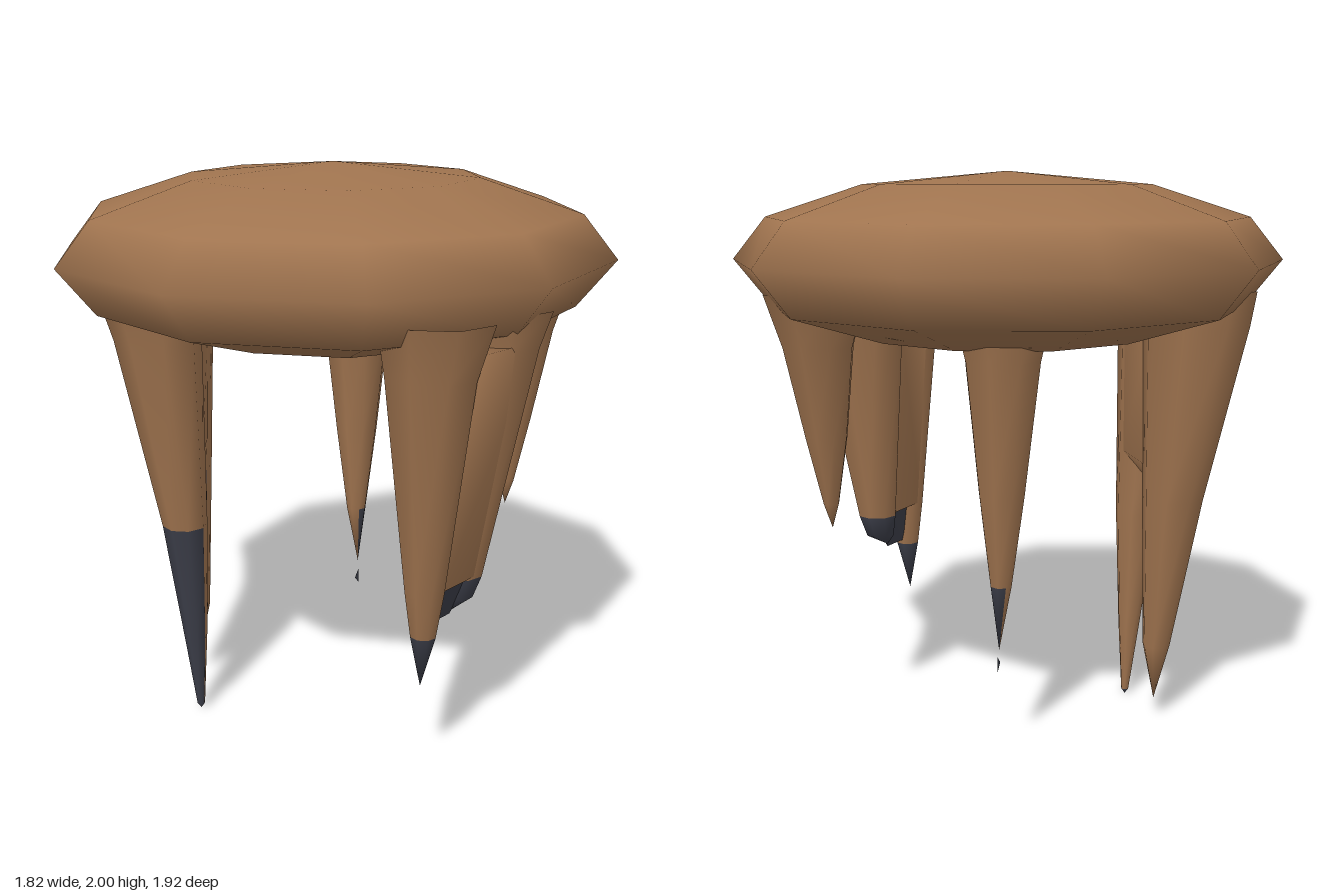
import * as THREE from 'three';
import { mergeVertices } from 'three/addons/utils/BufferGeometryUtils.js';
import { ConvexGeometry } from 'three/addons/geometries/ConvexGeometry.js';

const SIDES = 8;

// Points of a horizontal ring [x, y, z, radius]
function ringPoints([x, y, z, r]) {
  return Array.from({ length: SIDES }, (_, i) => {
    const a = (i / SIDES) * Math.PI * 2;
    return new THREE.Vector3(x + r * Math.cos(a), y, z + r * Math.sin(a));
  });
}

// Ring interpolated at height y along a leg
function ringAt(rings, y) {
  const k = Math.max(1, rings.findIndex((r) => r[1] <= y));
  const a = rings[k - 1], b = rings[k];
  const t = (a[1] - y) / (a[1] - b[1]);
  return a.map((v, i) => v + (b[i] - v) * t);
}

// Tapered spike from rings listed top to bottom. isDark(y, dx, dz) picks the faces of the worn tip.
function spikeGeometry(rings, tip, isDark) {
  const pos = [];
  const faces = [[], []];
  rings.forEach((ring) => ringPoints(ring).forEach((p) => pos.push(p.x, p.y, p.z)));
  pos.push(...tip);
  const tipIndex = rings.length * SIDES;
  rings.forEach((ring, k) => {
    for (let i = 0; i < SIDES; i++) {
      const a = ((i + 0.5) / SIDES) * Math.PI * 2;
      const list = faces[isDark(ring[1], Math.cos(a), Math.sin(a)) ? 1 : 0];
      const p = k * SIDES + i, q = k * SIDES + ((i + 1) % SIDES);
      if (k === rings.length - 1) list.push(p, q, tipIndex);
      else list.push(p, q, q + SIDES, p, q + SIDES, p + SIDES);
    }
  });
  const geo = new THREE.BufferGeometry();
  geo.setAttribute('position', new THREE.Float32BufferAttribute(pos, 3));
  geo.setIndex([...faces[0], ...faces[1]]);
  geo.addGroup(0, faces[0].length, 0);
  geo.addGroup(faces[0].length, faces[1].length, 1);
  geo.computeVertexNormals();
  return geo;
}

// Smooth hull joining two spikes between the seat and height y
function webGeometry(a, b, y, extra = []) {
  const pts = [...extra];
  [a, b].forEach((rings) => [1.5, y].forEach((h) => {
    const [cx, cy, cz, r] = ringAt(rings, h);
    pts.push(...ringPoints([cx, cy, cz, r * 0.9]));
  }));
  let geo = new ConvexGeometry(pts);
  geo.deleteAttribute('normal');
  geo = mergeVertices(geo, 1e-4);
  geo.computeVertexNormals();
  return geo;
}

export function createModel() {
  const wood = new THREE.MeshStandardMaterial({ color: 0xa0744f });
  wood.name = 'brown wood';
  const dark = new THREE.MeshStandardMaterial({ color: 0x3c3e49, side: THREE.DoubleSide });
  dark.name = 'dark tip';

  const model = new THREE.Group();
  model.name = 'stool';
  const add = (name, geo, mat, parent = model) => {
    const mesh = new THREE.Mesh(geo, mat);
    mesh.name = name;
    parent.add(mesh);
    return mesh;
  };

  // Cushion-like ten-sided seat
  const profile = [[0, 1.4], [0.5, 1.44], [0.83, 1.54], [0.958, 1.7], [0.84, 1.845], [0.5, 1.955], [0, 2]];
  add('seat', new THREE.LatheGeometry(profile.map(([r, y]) => new THREE.Vector2(r, y)), 10), wood);

  const spikes = {
    rightFrontProng: {
      rings: [[-0.46, 1.6, 0.42, 0.19], [-0.45, 1.42, 0.41, 0.15], [-0.395, 0.74, 0.37, 0.08], [-0.38, 0.3, 0.35, 0.042], [-0.37, 0.02, 0.345, 0.014]],
      tip: [-0.37, 0, 0.345],
      isDark: (y, dx, dz) => y < 0.1 || (y < 0.8 && dz + 0.3 * dx > 0),
    },
    rightOuterProng: {
      rings: [[-0.64, 1.6, 0.14, 0.21], [-0.64, 1.48, 0.14, 0.19], [-0.58, 0.86, 0.13, 0.11], [-0.535, 0.3, 0.13, 0.05]],
      tip: [-0.53, 0.09, 0.13],
      isDark: (y, dx, dz) => y < 0.9 && dz > 0,
    },
    leftFrontProng: {
      rings: [[0.6, 1.6, 0.41, 0.19], [0.58, 1.42, 0.4, 0.15], [0.555, 0.7, 0.36, 0.07], [0.55, 0.53, 0.355, 0.045]],
      tip: [0.54, 0.34, 0.35],
      isDark: (y) => y < 0.6,
    },
    leftOuterProng: {
      rings: [[0.65, 1.6, 0.14, 0.21], [0.64, 1.48, 0.14, 0.18], [0.59, 0.69, 0.16, 0.075], [0.58, 0.61, 0.16, 0.055]],
      tip: [0.57, 0.56, 0.2],
      isDark: (y) => y < 0.75,
    },
    leftBackLeg: {
      rings: [[0.54, 1.6, -0.4, 0.18], [0.54, 1.42, -0.39, 0.125], [0.535, 1.1, -0.36, 0.075], [0.535, 0.86, -0.34, 0.028]],
      tip: [0.535, 0.77, -0.335],
      isDark: () => false,
    },
    backLeg: {
      rings: [[-0.115, 1.6, -0.39, 0.18], [-0.115, 1.4, -0.38, 0.13], [-0.108, 0.95, -0.37, 0.08], [-0.1, 0.63, -0.355, 0.038]],
      tip: [-0.095, 0.4, -0.36],
      isDark: (y, dx, dz) => y < 0.7 && dx - dz > 0,
    },
  };
  for (const [name, s] of Object.entries(spikes)) {
    add(name, spikeGeometry(s.rings, s.tip, s.isDark), [wood, dark]);
  }

  // Webs that make each pair of prongs one forked leg
  add('rightLegWeb', webGeometry(spikes.rightFrontProng.rings, spikes.rightOuterProng.rings, 0.98,
    [new THREE.Vector3(-0.49, 0.86, 0.26)]), wood);
  add('leftLegWeb', webGeometry(spikes.leftFrontProng.rings, spikes.leftOuterProng.rings, 0.7), wood);
  add('leftLegWornEdge', new ConvexGeometry([
    ...ringPoints([0.565, 0.7, 0.33, 0.04]), ...ringPoints([0.59, 0.7, 0.18, 0.05]),
    new THREE.Vector3(0.55, 0.55, 0.3), new THREE.Vector3(0.57, 0.55, 0.2),
  ]), dark);

  // Loose chip below the back leg
  const chip = new THREE.Shape([new THREE.Vector2(0.015, 0.37), new THREE.Vector2(-0.015, 0.34), new THREE.Vector2(0.015, 0.31)]);
  const chipMesh = add('tipChip', new THREE.ShapeGeometry(chip), dark);
  chipMesh.rotation.y = Math.PI / 2;
  chipMesh.scale.x = 1;
  chipMesh.position.set(-0.085, 0, -0.335);

  return model;
}
